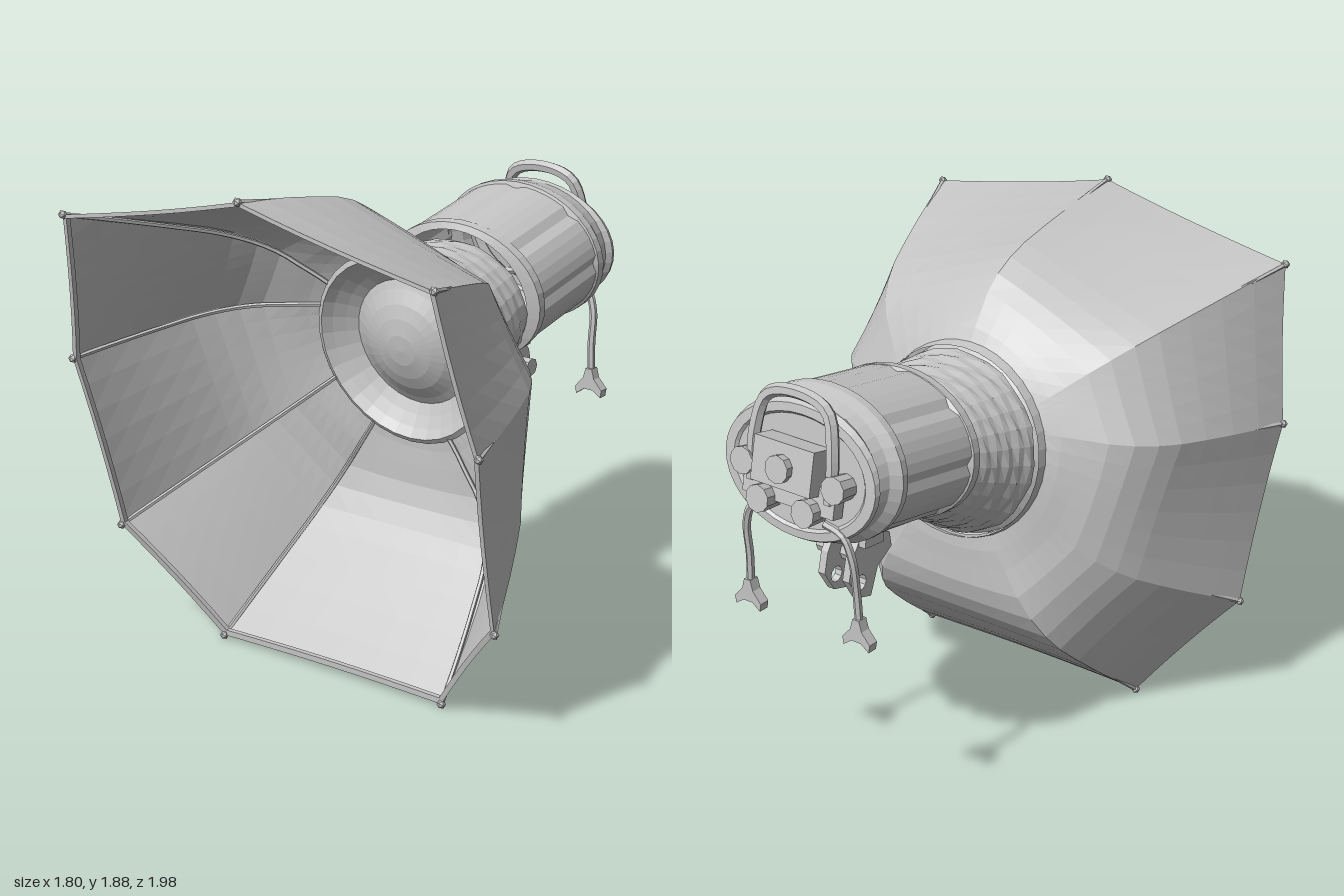
import * as THREE from 'three';

const V = (x, y, z) => new THREE.Vector3(x, y, z);
const grey = new THREE.MeshStandardMaterial({ color: 0xc4c4c4, flatShading: true, side: THREE.DoubleSide });
grey.name = 'light grey';

// Surface through rows of equally many points
function skin(name, rows) {
  const n = rows[0].length, index = [];
  for (let r = 0; r < rows.length - 1; r++)
    for (let c = 0; c < n - 1; c++) {
      const a = r * n + c, b = a + n;
      index.push(a, a + 1, b, a + 1, b + 1, b);
    }
  const g = new THREE.BufferGeometry().setFromPoints(rows.flat());
  g.setIndex(index);
  g.computeVertexNormals();
  return named(name, g);
}

function named(name, geometry) {
  const m = new THREE.Mesh(geometry, grey);
  m.name = name;
  return m;
}

const tube = (name, pts, r, n = 20, sides = 6) =>
  named(name, new THREE.TubeGeometry(new THREE.CatmullRomCurve3(pts), n, r, sides));

function place(mesh, x, y, z, rx = 0, ry = 0, rz = 0) {
  mesh.position.set(x, y, z);
  mesh.rotation.set(rx, ry, rz);
  return mesh;
}

// Point on a tilted ellipse given by [topZ, topY, bottomZ, bottomY, halfWidth]
function onRing([zt, yt, zb, yb, rx], a, k = 1) {
  const s = Math.sin(a) * k / 2;
  return V(Math.cos(a) * rx * k, (yt + yb) / 2 + s * (yt - yb), (zt + zb) / 2 + s * (zt - zb));
}
const ringRow = (st, n, scale = () => 1) =>
  Array.from({ length: n + 1 }, (_, i) => onRing(st, i / n * Math.PI * 2, scale(i % n)));
const mix = (a, b, t) => a.map((v, i) => v + (b[i] - v) * t);

const COLLAR = [0.10, 1.49, -0.02, 0.77, 0.37];

// Rim corners: x, y, z, collar angle the rib starts from, forward tilt, straightness of the rib
const half = [
  [0.79, 1.705, 0.975, 33, 0.05, 0.38], [0.885, 1.13, 0.86, 17, 0.12, 0],
  [0.84, 0.44, 0.69, -30, 0.17, 0.3], [0.5, 0.015, 0.515, -64, 0.45, 0],
];
const corners = [
  [0, 1.87, 0.975, 90, 0, 0], ...half,
  ...half.slice().reverse().map(([x, y, z, a, t, s]) => [-x, y, z, 180 - a, t, s]),
  [0, 1.87, 0.975, 450, 0, 0],
];
// How far a rib has gone outwards and forwards at each step
const PROFILE = [[0, 0], [0.12, 0.03], [0.25, 0.07], [0.42, 0.12], [0.56, 0.19], [0.67, 0.28],
  [0.75, 0.38], [0.82, 0.52], [0.89, 0.68], [0.95, 0.84], [1, 1]];

function ribPath([x, y, z, deg, tilt, straight]) {
  const start = onRing(COLLAR, deg * Math.PI / 180);
  const axis = V(0, -Math.sin(tilt), Math.cos(tilt));
  const d = V(x, y, z).sub(start), along = axis.clone().multiplyScalar(d.dot(axis));
  const out = d.clone().sub(along);
  return PROFILE.map(([f, g]) =>
    start.clone().addScaledVector(out, f + (g - f) * straight).addScaledVector(along, g));
}

function softbox() {
  const g = new THREE.Group();
  g.name = 'softbox';
  const ribs = corners.map(ribPath), N = 6;
  for (let i = 0; i < 9; i++) {
    // Fabric panel, curved at the collar and nearly taut at the rim
    const a0 = corners[i][3] * Math.PI / 180;
    let a1 = corners[i + 1][3] * Math.PI / 180;
    if (a1 - a0 > Math.PI) a1 -= 2 * Math.PI;
    const rows = PROFILE.map(([f], r) => Array.from({ length: N + 1 }, (_, c) => {
      const t = c / N, p = ribs[i][r].clone().lerp(ribs[i + 1][r], t);
      const curved = onRing(COLLAR, a0 + (a1 - a0) * t);
      const flat = ribs[i][0].clone().lerp(ribs[i + 1][0], t);
      p.addScaledVector(curved.sub(flat), Math.max(0, 1 - 1.3 * f));
      const toAxis = V(-p.x, 1.12 - p.y, 0).normalize();
      return p.addScaledVector(toAxis, 0.008 * f * 4 * t * (1 - t));
    }));
    g.add(skin('fabricPanel', rows));

    // Folded hem along the opening
    const edge = rows[rows.length - 1];
    const inner = edge.map(p => p.clone().lerp(V(0, 1.12, p.z), 0.02));
    const back = inner.map(p => p.clone().add(V(0, 0, -0.02)));
    g.add(skin('rimHem', [edge, inner, back]));

    // Rib rod just inside the fabric, and its corner tip
    const rod = ribs[i].map((p, k) => p.clone().lerp(V(0, 1.12, p.z), 0.03 * Math.sin(k / 10 * Math.PI))
      .add(V(0, 0, 0.02 * (1 - k / 10))));
    g.add(tube('ribRod', rod, 0.009, 24, 5));
    const [x, y, z] = corners[i];
    g.add(place(named('cornerTip', new THREE.IcosahedronGeometry(0.017, 0)), x, y, z));
  }
  return g;
}

function neckAndBody() {
  const g = new THREE.Group();
  g.name = 'lampHousing';
  // Collar ring
  const lip = [0.11, 1.49, -0.01, 0.755, 0.38], lipBack = [0.06, 1.48, -0.05, 0.77, 0.375];
  g.add(skin('collar', [lip, lipBack].map(s => ringRow(s, 36))));

  // Wrinkled fabric sleeve
  const front = [0.06, 1.47, -0.05, 0.79, 0.36], rear = [-0.28, 1.46, -0.34, 0.98, 0.30];
  const sleeve = [];
  for (let i = 0; i <= 12; i++)
    sleeve.push(ringRow(mix(front, rear, i / 12), 30,
      j => 1 + (i % 2 ? 0.008 : -0.006) + 0.012 * Math.sin(j * 2.1 + i * 1.7)));
  g.add(skin('sleeve', sleeve));

  // Barrel with shallow lengthwise grooves
  const groove = i => (i % 6 === 0 ? 0.96 : 1);
  const bf = [-0.30, 1.525, -0.37, 0.99, 0.345], br = [-0.69, 1.59, -0.77, 1.06, 0.345];
  g.add(skin('barrel', [bf, br].map(s => ringRow(s, 48, groove))));
  g.add(skin('frontFlange', [[-0.27, 1.50, -0.34, 0.99, 0.30], [-0.28, 1.525, -0.35, 0.98, 0.352],
    [-0.315, 1.53, -0.385, 0.985, 0.352], [-0.33, 1.52, -0.40, 1.0, 0.33]].map(s => ringRow(s, 36))));

  // Rear flange, tapered cap and closed end
  g.add(skin('rearCap', [
    [-0.67, 1.57, -0.75, 1.06, 0.335], [-0.68, 1.60, -0.76, 1.045, 0.352],
    [-0.71, 1.60, -0.79, 1.05, 0.355], [-0.75, 1.59, -0.82, 1.08, 0.325],
    [-0.80, 1.58, -0.86, 1.09, 0.315], [-0.815, 1.585, -0.88, 1.09, 0.335],
    [-0.84, 1.57, -0.895, 1.10, 0.33], [-0.845, 1.54, -0.895, 1.13, 0.29],
    [-0.835, 1.53, -0.885, 1.14, 0.28], [-0.86, 1.34, -0.86, 1.34, 0],
  ].map(s => ringRow(s, 36))));
  return g;
}

function reflector() {
  // Shallow recessed cone with a domed lamp cover in the middle
  const pts = [[0.38, 0.02], [0.36, 0.03], [0.33, 0], [0.29, -0.03], [0.25, -0.055],
    [0.22, -0.04], [0.17, -0.01], [0.12, 0.01], [0.06, 0.025], [0, 0.03]];
  const geo = new THREE.LatheGeometry(pts.map(p => new THREE.Vector2(...p)), 32).rotateX(Math.PI / 2);
  return place(named('reflector', geo), 0, 1.123, 0.045, 0.17);
}

function rearFittings() {
  const g = new THREE.Group();
  g.name = 'rearFittings';
  // Carrying handle
  g.add(tube('handle', [V(-0.17, 1.28, -0.91), V(-0.17, 1.46, -0.89), V(-0.13, 1.59, -0.865), V(0, 1.625, -0.86),
    V(0.13, 1.59, -0.865), V(0.17, 1.46, -0.89), V(0.17, 1.28, -0.91)], 0.024, 30));
  // Control box, knobs and sockets
  g.add(place(named('controlBox', new THREE.BoxGeometry(0.26, 0.16, 0.09)), 0, 1.38, -0.91, 0.2));
  g.add(place(named('controlPlate', new THREE.BoxGeometry(0.4, 0.1, 0.05)), 0, 1.28, -0.9, 0.2));
  const knob = new THREE.CylinderGeometry(0.045, 0.05, 0.09, 10).rotateX(Math.PI / 2);
  for (const [x, y, z] of [[-0.1, 1.24, -0.93], [0.1, 1.24, -0.93], [0, 1.38, -0.94], [-0.2, 1.34, -0.89], [0.2, 1.34, -0.89]])
    g.add(place(named('knob', knob), x, y, z, 0.15));

  // Hanging feet with flared paddle ends
  const paddle = new THREE.Shape([[-0.014, 0.1], [-0.025, 0.06], [-0.06, 0.02], [-0.055, -0.01], [-0.02, 0.015],
    [0.02, 0.015], [0.055, -0.01], [0.06, 0.02], [0.025, 0.06], [0.014, 0.1]].map(p => new THREE.Vector2(...p)));
  const paddleGeo = new THREE.ExtrudeGeometry(paddle, { depth: 0.04, bevelEnabled: false });
  for (const s of [-1, 1]) {
    g.add(tube('footStem', [V(s * 0.12, 1.18, -0.88), V(s * 0.2, 1.16, -0.885), V(s * 0.235, 1.08, -0.88),
      V(s * 0.24, 0.95, -0.865), V(s * 0.245, 0.82, -0.86)], 0.015));
    g.add(place(named('footPaddle', paddleGeo), s * 0.245, 0.75, -0.88));
  }
  return g;
}

function mount() {
  const g = new THREE.Group();
  g.name = 'tiltMount';
  g.add(place(named('mountBar', new THREE.BoxGeometry(0.14, 0.06, 0.32)), 0, 1.01, -0.48, 0.15));
  g.add(place(named('mountClamp', new THREE.BoxGeometry(0.2, 0.07, 0.1)), 0, 1.01, -0.59, 0.1));
  // Bracket cheeks narrowing down to the stand socket
  const cheek = new THREE.Shape([[-0.47, 0.97], [-0.55, 1.0], [-0.64, 1.0], [-0.68, 0.94], [-0.7, 0.86],
    [-0.65, 0.78], [-0.58, 0.76], [-0.54, 0.86], [-0.46, 0.91]].map(p => new THREE.Vector2(...p)));
  const hole = new THREE.Path();
  hole.absarc(-0.635, 0.835, 0.03, 0, Math.PI * 2, true);
  cheek.holes.push(hole);
  const geo = new THREE.ExtrudeGeometry(cheek, { depth: 0.03, bevelEnabled: false, curveSegments: 5 });
  geo.rotateY(-Math.PI / 2);
  for (const x of [-0.04, 0.07]) g.add(place(named('mountCheek', geo), x, 0, 0));
  g.add(place(named('tiltKnob', new THREE.CylinderGeometry(0.035, 0.035, 0.22, 8)), 0.04, 0.91, -0.58, 0, 0, Math.PI / 2));
  return g;
}

export function createModel() {
  const model = new THREE.Group();
  model.name = 'studioLamp';
  model.add(softbox(), neckAndBody(), reflector(), rearFittings(), mount());
  return model;
}
